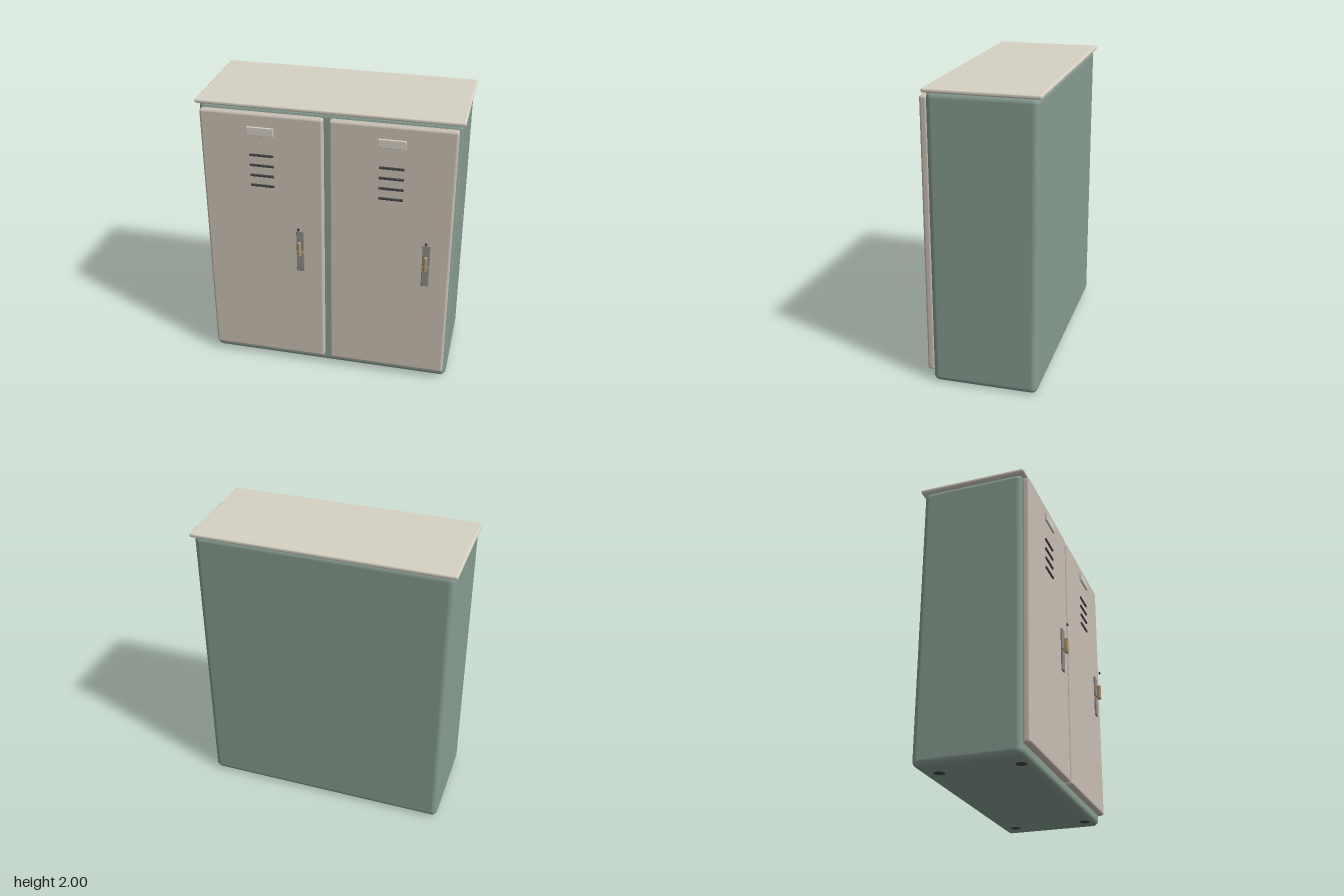
import * as THREE from 'three';
import { RoundedBoxGeometry } from 'three/addons/geometries/RoundedBoxGeometry.js';

const paint = (color) => new THREE.MeshStandardMaterial({ color });
const GREEN = paint(0x879d90), DOOR = paint(0xc9c0b4), CREAM = paint(0xd6d1c4);
const STEEL = paint(0x8d8a86), DARK = paint(0x45454a), BRASS = paint(0xb0956a);

function add(parent, name, geometry, material, x, y, z) {
  const mesh = new THREE.Mesh(geometry, material);
  mesh.name = name;
  mesh.position.set(x, y, z);
  parent.add(mesh);
  return mesh;
}

// Rounded box given by its [min, max] extent on each axis
function block(parent, name, material, [x0, x1], [y0, y1], [z0, z1], radius) {
  const geometry = new RoundedBoxGeometry(x1 - x0, y1 - y0, z1 - z0, 4, radius);
  return add(parent, name, geometry, material, (x0 + x1) / 2, (y0 + y1) / 2, (z0 + z1) / 2);
}

// One door with its fittings, centred on x = 0
function makeDoor() {
  const door = new THREE.Group();
  block(door, 'doorPanel', DOOR, [-0.41, 0.41], [0.073, 1.947], [0.306, 0.359], 0.018);
  block(door, 'labelPlate', CREAM, [-0.09, 0.09], [1.802, 1.861], [0.364, 0.379], 0.004);

  // Ventilation slots
  for (let i = 0; i < 4; i++) {
    const y = 1.657 - i * 0.0735;
    block(door, 'ventSlot', DARK, [-0.081, 0.081], [y - 0.008, y + 0.008], [0.354, 0.369], 0.004);
  }

  // Latch plate in two halves, with the grip and lock in front
  block(door, 'latchPlateUpper', STEEL, [0.225, 0.276], [0.965, 1.121], [0.364, 0.377], 0.003);
  block(door, 'latchPlateLower', STEEL, [0.225, 0.276], [0.806, 0.957], [0.364, 0.377], 0.003);
  block(door, 'latchGrip', BRASS, [0.237, 0.263], [0.934, 1.051], [0.384, 0.412], 0.011);
  const lock = new THREE.CylinderGeometry(0.009, 0.009, 0.01, 20).rotateX(Math.PI / 2);
  add(door, 'keyhole', lock, DARK, 0.25, 1.153, 0.407);
  return door;
}

export function createModel() {
  const model = new THREE.Group();
  model.name = 'locker';

  // Cabinet and overhanging top
  block(model, 'cabinet', GREEN, [-0.86, 0.86], [0.001, 1.978], [-0.398, 0.315], 0.042);
  block(model, 'topPanel', CREAM, [-0.876, 0.876], [1.971, 2], [-0.417, 0.331], 0.012);

  // Two identical doors
  for (const [name, x] of [['rightDoor', -0.43], ['leftDoor', 0.43]]) {
    const door = makeDoor();
    door.name = name;
    door.position.x = x;
    model.add(door);
  }

  // Foot pads almost flush with the base
  for (const x of [-0.69, 0.69]) {
    for (const z of [-0.28, 0.25]) {
      add(model, 'footPad', new THREE.CylinderGeometry(0.036, 0.036, 0.02, 24), DARK, x, 0.01, z);
    }
  }
  return model;
}
